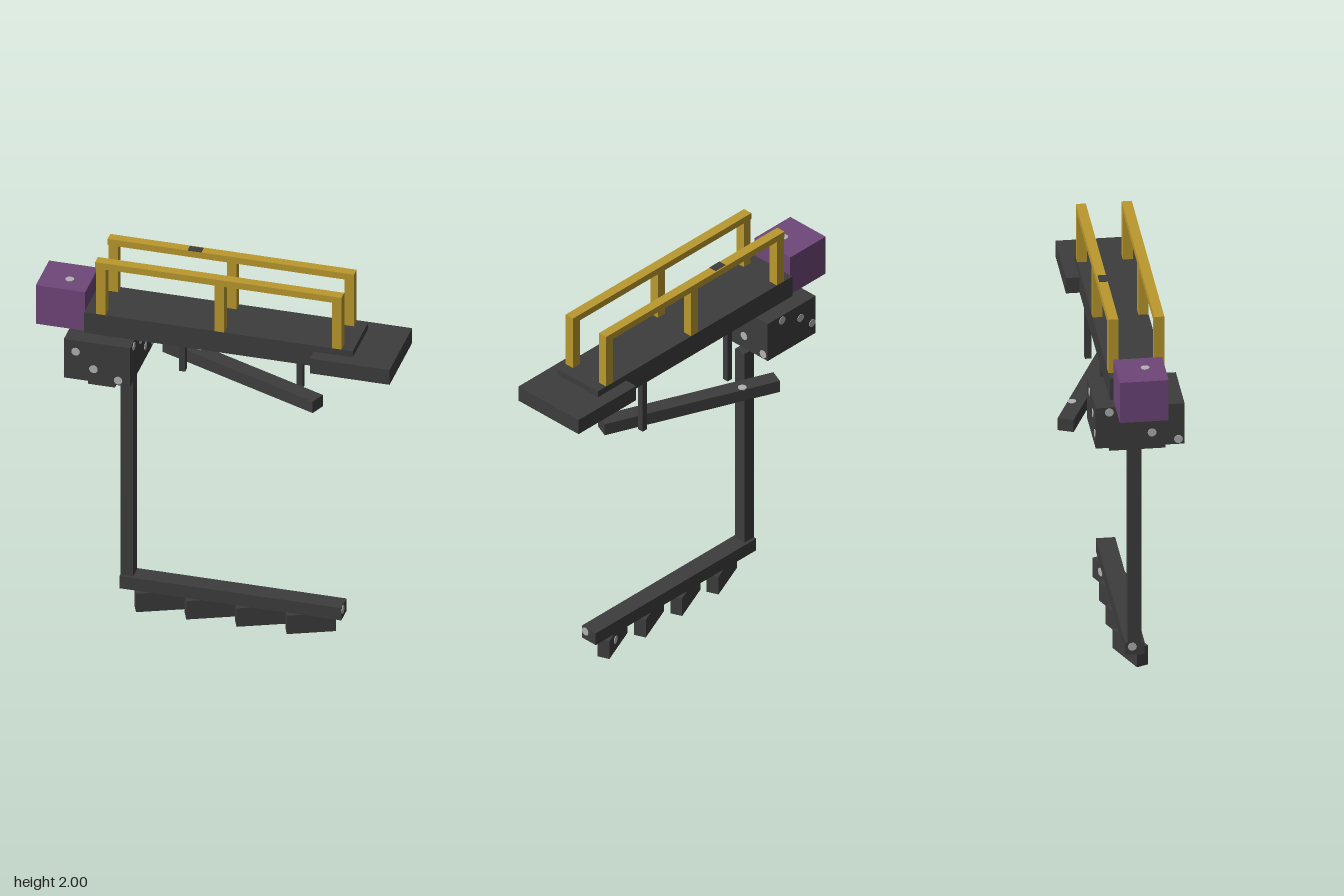
import * as THREE from 'three';

const material = (name, color) => {
  const m = new THREE.MeshStandardMaterial({ color });
  m.name = name;
  return m;
};

export function createModel() {
  const dark = material('darkSteel', 0x3d3d3d);
  const gold = material('railYellow', 0xbb992e);
  const purple = material('motorPurple', 0x6f4779);
  const light = material('boltGrey', 0xb2b2b2);
  const model = new THREE.Group();
  model.name = 'gantryRake';

  const add = (name, geometry, mat, parent = model) => {
    const mesh = new THREE.Mesh(geometry, mat);
    mesh.name = name;
    parent.add(mesh);
    return mesh;
  };

  // Box given by its extents on each axis
  const block = (name, mat, [x0, x1], [y0, y1], [z0, z1], parent) => {
    const mesh = add(name, new THREE.BoxGeometry(x1 - x0, y1 - y0, z1 - z0), mat, parent);
    mesh.position.set((x0 + x1) / 2, (y0 + y1) / 2, (z0 + z1) / 2);
    return mesh;
  };

  // Thin round bolt head facing along a normal
  const up = new THREE.Vector3(0, 1, 0);
  const bolt = (name, position, normal, parent) => {
    const mesh = add(name, new THREE.CylinderGeometry(0.022, 0.022, 0.006, 10), light, parent);
    mesh.position.set(...position);
    mesh.quaternion.setFromUnitVectors(up, new THREE.Vector3(...normal));
  };

  // Walkway and wide end platform
  block('walkwayDeck', dark, [-0.66, 0.7], [1.588, 1.705], [-0.07, 0.205]);
  block('endPlatform', dark, [0.502, 0.905], [1.586, 1.67], [-0.137, 0.272]);

  // Handrails on both sides
  for (const [side, z] of [['right', [-0.07, -0.021]], ['left', [0.155, 0.205]]]) {
    const rail = new THREE.Group();
    rail.name = side + 'Handrail';
    model.add(rail);
    block('topRail', gold, [-0.605, 0.643], [1.965, 2], z, rail);
    for (const x of [-0.6, 0, 0.595])
      block('railPost', gold, [x, x + 0.048], [1.705, 1.965], z, rail);
  }
  block('railPlate', dark, [-0.2, -0.13], [2, 2.002], [-0.063, -0.021]);

  // Motor
  block('motor', purple, [-0.91, -0.66], [1.588, 1.808], [-0.053, 0.187]);
  bolt('motorBolt', [-0.765, 1.808, 0.09], [0, 1, 0]);

  // Gearbox with its lower flange
  block('gearbox', dark, [-0.74, -0.405], [1.368, 1.588], [-0.15, 0.287]);
  block('gearboxFlange', dark, [-0.64, -0.505], [1.3, 1.368], [-0.07, 0.205]);
  for (const [x, y] of [[-0.68, 1.525], [-0.59, 1.44], [-0.465, 1.395]])
    bolt('gearboxBolt', [x, y, 0.287], [0, 0, 1]);
  for (const [x, y] of [[-0.505, 1.56], [-0.635, 1.51], [-0.715, 1.44]])
    bolt('gearboxBolt', [x, y, -0.15], [0, 0, -1]);
  for (const [z, y] of [[0.22, 1.562], [0.095, 1.525], [0.01, 1.44], [-0.12, 1.395]]) {
    bolt('gearboxBolt', [-0.405, y, z], [1, 0, 0]);
    bolt('gearboxBolt', [-0.74, y, 0.137 - z], [-1, 0, 0]);
  }

  // Column and bottom rake arm
  block('column', dark, [-0.505, -0.44], [0.175, 1.3], [0.04, 0.105]);
  block('rakeArm', dark, [-0.505, 0.618], [0.105, 0.175], [0.025, 0.12]);
  bolt('armBolt', [0.618, 0.153, 0.095], [1, 0, 0]);
  bolt('armBolt', [-0.505, 0.15, 0.06], [-1, 0, 0]);

  // Angled rake blades
  for (let i = 0; i < 4; i++) {
    const blade = add('rakeBlade', new THREE.BoxGeometry(0.241, 0.105, 0.062), dark);
    blade.position.set(-0.314 + i * 0.2545, 0.0525, 0.074);
    blade.rotation.y = Math.PI / 8;
    if (i === 3) bolt('bladeBolt', [0.04, 0.01, -0.031], [0, 0, -1], blade);
  }

  // Skimmer bar on two hangers
  const skimmer = add('skimmerBar', new THREE.BoxGeometry(0.931, 0.065, 0.081), dark);
  skimmer.position.set(0.065, 1.3125, -0.072);
  skimmer.rotation.y = -Math.PI / 8;
  bolt('skimmerBolt', [-0.274, 0.0325, -0.02], [0, 1, 0], skimmer);
  for (const x of [-0.245, 0.35])
    block('skimmerHanger', dark, [x, x + 0.03], [1.3, 1.588], [-0.063, -0.031]);

  return model;
}
